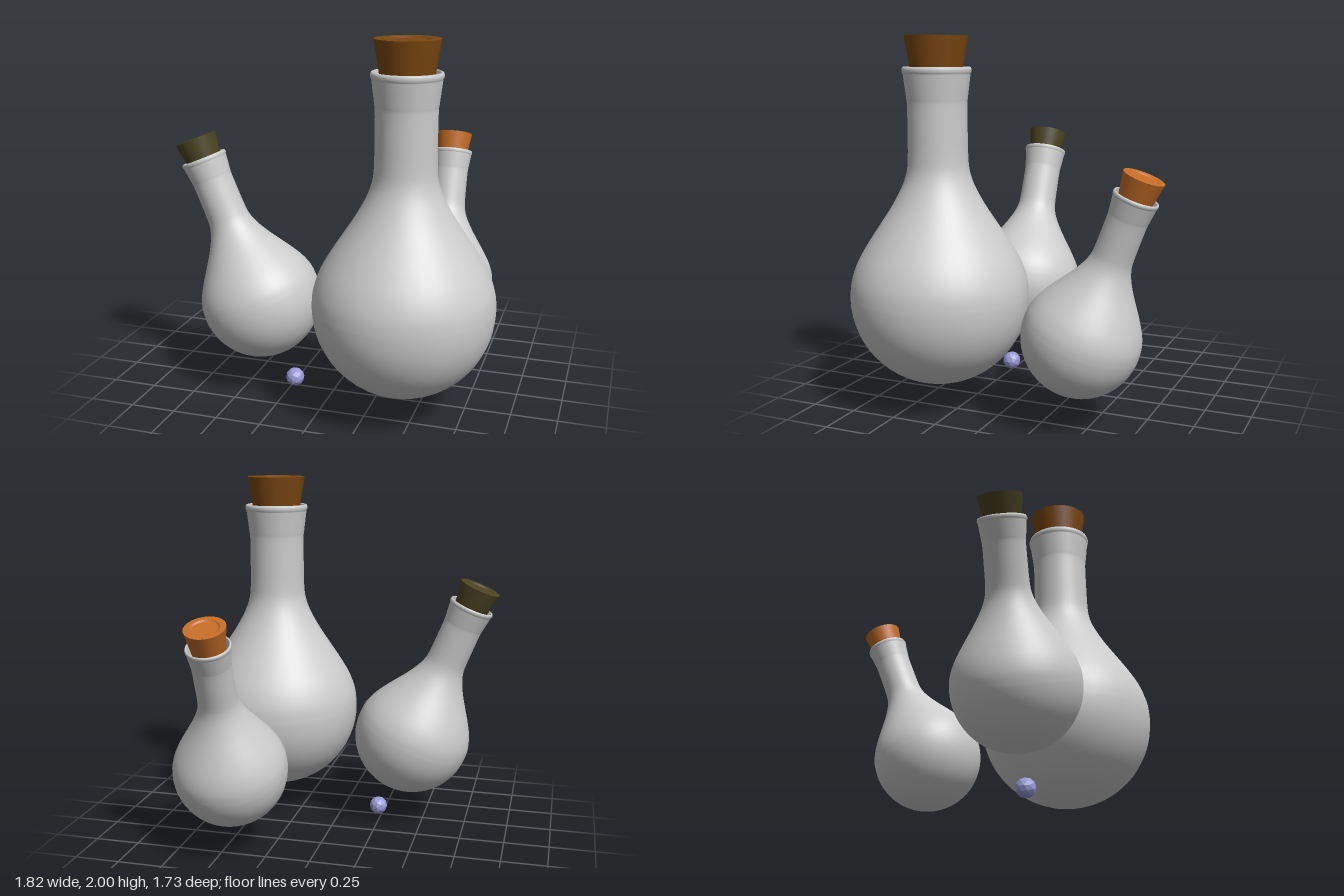
import * as THREE from 'three';

const mat = (name, color, side = THREE.FrontSide) => {
  const m = new THREE.MeshStandardMaterial({ color, side });
  m.name = name;
  return m;
};
const v = ([x, y]) => new THREE.Vector2(x, y);
const R = 0.483; // bulb radius of the full-size flask; y = 0 is the bulb centre

// Glass wall: round bowl, shoulder spline, neck, flared mouth, rolled lip, inner wall
function glassProfile() {
  const pts = [];
  for (let i = 0; i < 16; i++) {
    const a = -Math.PI / 2 + (i / 16) * (Math.PI / 2);
    pts.push(new THREE.Vector2(R * Math.cos(a), R * Math.sin(a)));
  }
  pts[0].x = 0;
  const shoulder = new THREE.SplineCurve([
    [R, 0], [0.475, 0.09], [0.44, 0.19], [0.383, 0.29], [0.317, 0.39],
    [0.252, 0.49], [0.198, 0.59], [0.17, 0.67], [0.161, 0.75], [0.159, 0.9],
    [0.159, 1.03], [0.163, 1.07], [0.174, 1.16], [0.178, 1.195],
  ].map(v));
  pts.push(...shoulder.getPoints(44));
  const lip = [[0.183, 1.2], [0.184, 1.215], [0.18, 1.226], [0.172, 1.229], [0.165, 1.222],
    [0.155, 1.15], [0.146, 1.05], [0.146, 0.9]];
  pts.push(...lip.map(v));
  return pts;
}

// Tapered stopper with a shallow dish in its top; doubled points keep edges sharp
const corkProfile = [
  [0, 1.08], [0.118, 1.08], [0.118, 1.08], [0.168, 1.39], [0.168, 1.39],
  [0.122, 1.39], [0.122, 1.39], [0.108, 1.38], [0.108, 1.38], [0, 1.38],
].map(v);

export function createModel() {
  const model = new THREE.Group();
  model.name = 'corkedFlasks';
  const glass = mat('paleGlass', 0xcccccc, THREE.DoubleSide);
  const glassGeo = new THREE.LatheGeometry(glassProfile(), 40);
  const corkGeo = new THREE.LatheGeometry(corkProfile, 40);

  function flask(name, pos, scale, tilt, corkMat) {
    const g = new THREE.Group();
    g.name = name;
    const body = new THREE.Mesh(glassGeo, glass);
    body.name = 'glassBody';
    const cork = new THREE.Mesh(corkGeo, corkMat);
    cork.name = 'cork';
    g.add(body, cork);
    g.position.set(...pos);
    g.rotation.set(...tilt);
    g.scale.setScalar(scale);
    model.add(g);
  }
  flask('largeFlask', [0.43, 0.61, 0.38], 1, [0, 0, 0], mat('brownCork', 0x7a4710));
  flask('leaningRightFlask', [-0.428, 0.515, 0.25], 0.694, [0, 0, 0.393], mat('oliveCork', 0x4a4422));
  flask('leaningBackFlask', [0.455, 0.473, -0.45], 0.648, [-0.362, 0, 0], mat('orangeCork', 0xc46c26));

  // Small faceted bead on the ground
  const beadGeo = new THREE.IcosahedronGeometry(0.053, 1);
  const beadMat = mat('lavender', 0x9a9ad8);
  beadMat.flatShading = true;
  const bead = new THREE.Mesh(beadGeo, beadMat);
  bead.name = 'bead';
  bead.position.set(-0.23, 0.053, 0.255);
  model.add(bead);
  return model;
}
